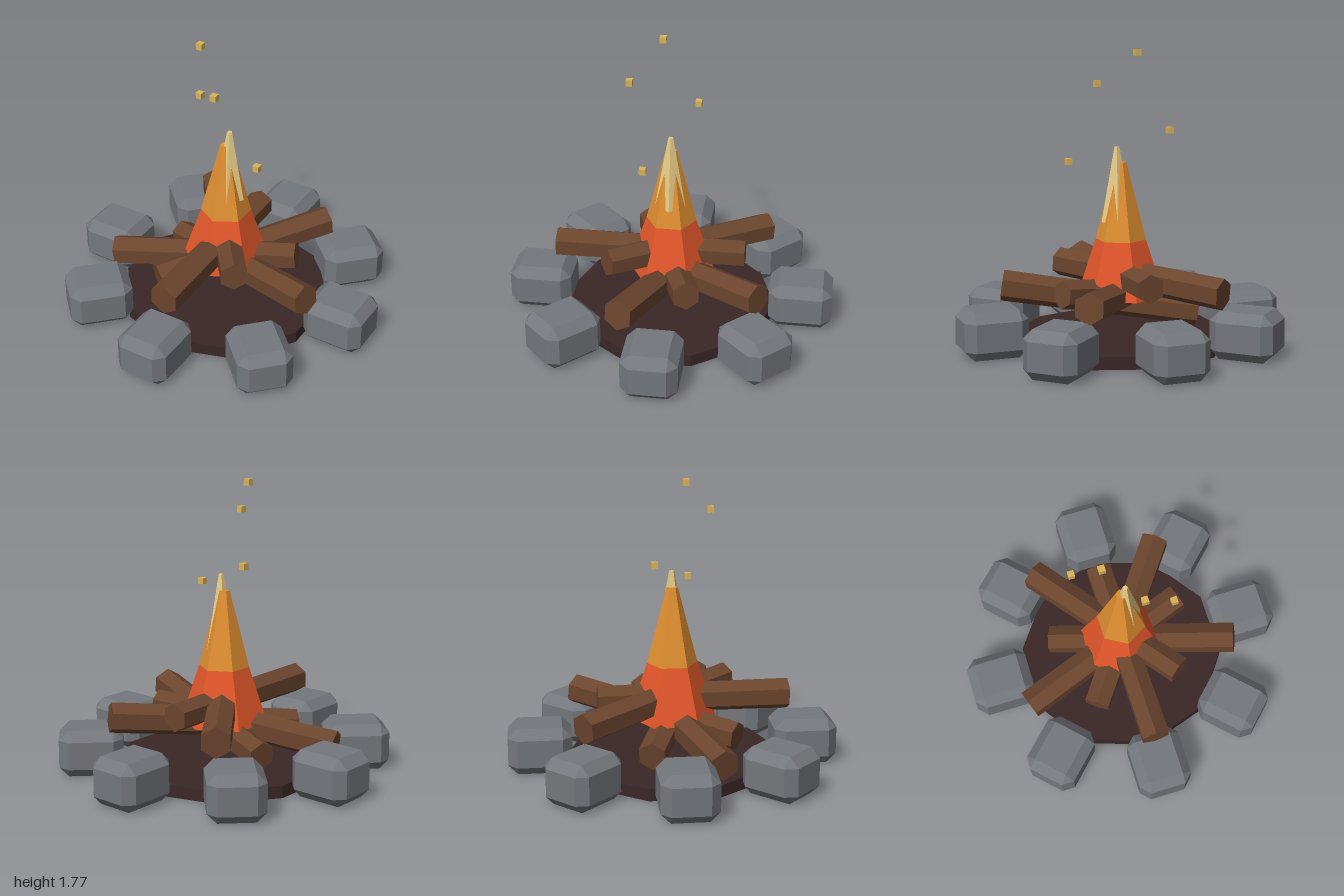
import * as THREE from 'three';
import { ConvexGeometry } from 'three/addons/geometries/ConvexGeometry.js';

const paint = (name, color) => {
  const m = new THREE.MeshStandardMaterial({ color });
  m.name = name;
  m.flatShading = true;
  return m;
};

// Box with every edge chamfered by c
function chamferBox(w, h, d, c) {
  const pts = [];
  for (const x of [-1, 1]) for (const y of [-1, 1]) for (const z of [-1, 1]) {
    for (let axis = 0; axis < 3; axis++) {
      const inset = [0, 1, 2].map((i) => (i === axis ? 0 : c));
      pts.push(new THREE.Vector3(
        x * (w / 2 - inset[0]), y * (h / 2 - inset[1]), z * (d / 2 - inset[2])));
    }
  }
  return new ConvexGeometry(pts);
}

export function createModel() {
  const stone = paint('stone grey', 0x74777c);
  const wood = paint('log brown', 0x6b452e);
  const ash = paint('ash brown', 0x3a2728);
  const red = paint('flame red', 0xe2562a);
  const orange = paint('flame orange', 0xdf8e30);
  const pale = paint('flame yellow', 0xeed28a);
  const gold = paint('spark gold', 0xdcb458);

  const model = new THREE.Group();
  model.name = 'campfire';
  const add = (name, geometry, material, x = 0, y = 0, z = 0) => {
    const mesh = new THREE.Mesh(geometry, material);
    mesh.name = name;
    mesh.position.set(x, y, z);
    model.add(mesh);
    return mesh;
  };
  // Upright frustum from y0 to y1
  const frustum = (name, material, r0, r1, y0, y1, sides, x = 0) =>
    add(name, new THREE.CylinderGeometry(r1, r0, y1 - y0, sides), material, x, (y0 + y1) / 2);

  // Ash bed
  frustum('ashBed', ash, 0.645, 0.645, 0, 0.075, 10);

  // Ring of stones
  const stoneGeometry = chamferBox(0.335, 0.285, 0.385, 0.058);
  for (let i = 0; i < 8; i++) {
    const a = (i * Math.PI) / 4;
    const s = add('ringStone', stoneGeometry, stone, 0.807 * Math.sin(a), 0.1425, 0.807 * Math.cos(a));
    s.rotation.y = a;
  }

  // Crossed logs: outer end, inner end
  const logs = [
    [[0.005, 0.42, 0.71], [-0.012, 0.42, -0.455]],
    [[0.68, 0.365, 0.22], [-0.43, 0.2, -0.165]],
    [[-0.675, 0.22, 0.225], [0.42, 0.36, -0.145]],
    [[-0.42, 0.38, -0.56], [0.27, 0.46, 0.355]],
    [[0.405, 0.365, -0.57], [-0.27, 0.25, 0.36]],
  ];
  for (const [outer, inner] of logs) {
    const a = new THREE.Vector3(...outer), b = new THREE.Vector3(...inner);
    const geometry = new THREE.CylinderGeometry(0.095, 0.088, a.distanceTo(b), 6).rotateX(Math.PI / 2);
    const mid = a.clone().add(b).multiplyScalar(0.5);
    add('log', geometry, wood, mid.x, mid.y, mid.z).lookAt(a);
  }

  // Flames
  frustum('lowerFlame', red, 0.265, 0.153, 0.3, 0.64, 6);
  frustum('upperFlame', orange, 0.153, 0.034, 0.64, 1.105, 6);
  frustum('flameCore', pale, 0.098, 0.016, 0.75, 1.2, 5, 0.025).rotation.y = Math.PI / 2;

  // Floating sparks
  const sparkGeometry = new THREE.BoxGeometry(0.038, 0.038, 0.038);
  for (const [x, y, z] of [
    [-0.13, 1.755, 0.065], [0.065, 1.56, 0.235], [-0.26, 1.3, -0.13], [0.285, 1.107, 0.128],
  ]) add('spark', sparkGeometry, gold, x, y, z);

  return model;
}
